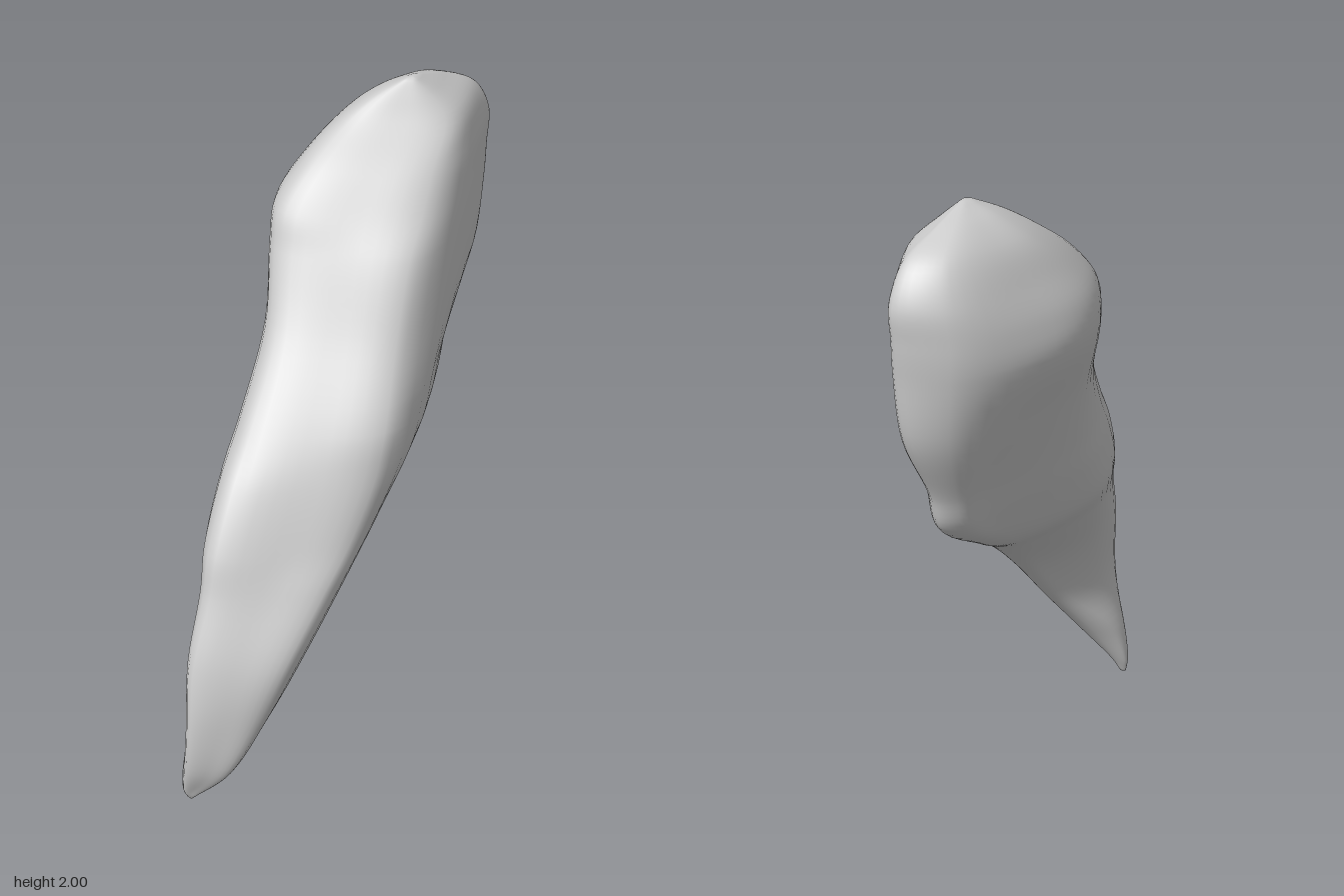
import * as THREE from 'three';

// Horizontal sections, bottom to top: y, then x,z of the left edge, front ridge, right edge and back edge
const SECTIONS = [
  [0.00, -0.61, 0.26, -0.60, 0.28, -0.59, 0.26, -0.60, 0.245],
  [0.05, -0.625, 0.29, -0.595, 0.32, -0.56, 0.265, -0.59, 0.23],
  [0.20, -0.64, 0.36, -0.52, 0.415, -0.44, 0.27, -0.53, 0.225],
  [0.40, -0.635, 0.38, -0.43, 0.45, -0.27, 0.24, -0.33, 0.21],
  [0.60, -0.61, 0.35, -0.34, 0.465, -0.10, 0.16, -0.18, 0.13],
  [0.80, -0.54, 0.30, -0.19, 0.415, 0.10, 0.01, -0.01, -0.045],
  [0.92, -0.51, 0.27, -0.08, 0.36, 0.25, -0.13, 0.14, -0.18],
  [1.08, -0.43, 0.20, 0.02, 0.31, 0.45, -0.27, 0.28, -0.28],
  [1.20, -0.34, 0.12, 0.06, 0.28, 0.49, -0.30, 0.31, -0.325],
  [1.40, -0.20, -0.02, 0.14, 0.17, 0.59, -0.33, 0.26, -0.395],
  [1.60, -0.13, -0.14, 0.22, 0.08, 0.62, -0.34, 0.21, -0.46],
  [1.70, -0.10, -0.18, 0.29, 0.01, 0.63, -0.35, 0.21, -0.45],
  [1.80, -0.01, -0.21, 0.35, -0.06, 0.635, -0.35, 0.25, -0.42],
  [1.90, 0.13, -0.25, 0.42, -0.15, 0.58, -0.33, 0.31, -0.385],
  [1.96, 0.23, -0.25, 0.38, -0.20, 0.47, -0.30, 0.34, -0.33],
  [2.00, 0.32, -0.24, 0.34, -0.23, 0.36, -0.25, 0.34, -0.255],
];
const RINGS = 90, SIDES = 48;
// For each side between those corners: where along it, and how far, it swells outward
const SWELL = [[0.5, 0.09], [0.8, 0.05], [0.35, 0.2], [0.5, 0.16]];

// Point on the way from a to b, pushed outward across the edge
function swell(a, b, [along, amount]) {
  const edge = b.clone().sub(a);
  return a.clone().lerp(b, along).add(new THREE.Vector3(-edge.z * amount, 0, edge.x * amount));
}

export function createModel() {
  // One lengthwise curve for each corner of the section
  const rails = [1, 3, 5, 7].map(k => new THREE.CatmullRomCurve3(
    SECTIONS.map(s => new THREE.Vector3(s[k], s[0], s[k + 1])), false, 'centripetal'));

  const positions = [], indices = [];
  for (let r = 0; r <= RINGS; r++) {
    const corners = rails.map(c => c.getPoint(r / RINGS));
    const ring = new THREE.CatmullRomCurve3(
      corners.flatMap((p, i) => [p, swell(p, corners[(i + 1) % 4], SWELL[i])]), true, 'centripetal');
    for (let i = 0; i < SIDES; i++) {
      const p = ring.getPoint(i / SIDES);
      positions.push(p.x, p.y, p.z);
      if (r < RINGS) {
        const a = r * SIDES + i, b = r * SIDES + (i + 1) % SIDES;
        indices.push(a, b, a + SIDES, b, b + SIDES, a + SIDES);
      }
    }
  }

  // Close the tip and the crown
  const tip = positions.length / 3, crown = tip + 1, last = RINGS * SIDES;
  positions.push(-0.6, 0, 0.26, 0.34, 2, -0.245);
  for (let i = 0; i < SIDES; i++) {
    const j = (i + 1) % SIDES;
    indices.push(tip, j, i, crown, last + i, last + j);
  }

  const geometry = new THREE.BufferGeometry();
  geometry.setAttribute('position', new THREE.Float32BufferAttribute(positions, 3));
  geometry.setIndex(indices);
  geometry.computeVertexNormals();

  const body = new THREE.Mesh(geometry, new THREE.MeshStandardMaterial({ color: 0xcccccc }));
  body.name = 'curvedTaperedBody';
  const group = new THREE.Group();
  group.name = 'curvedFragment';
  group.add(body);
  return group;
}
